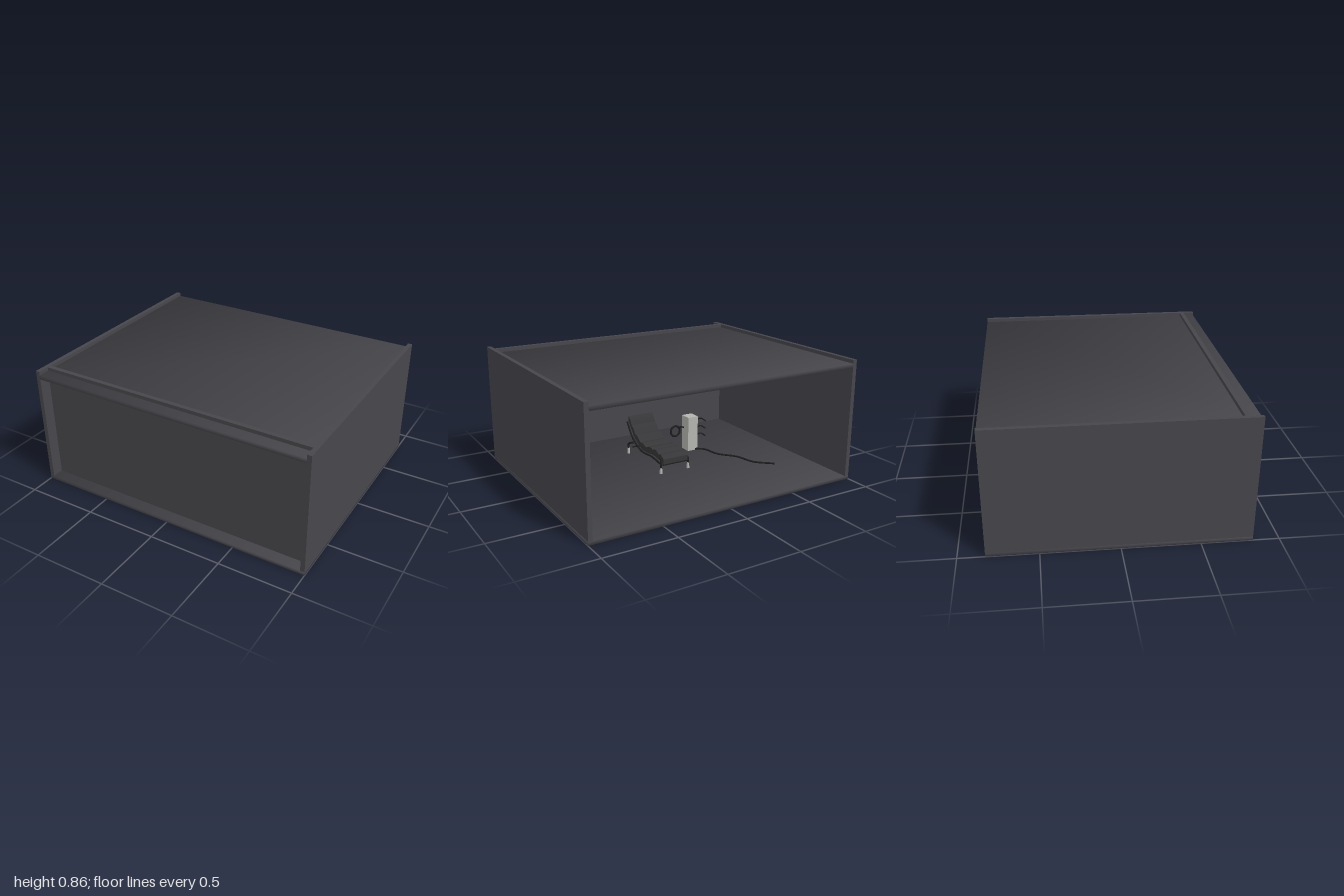
import * as THREE from 'three';

const material = (name, color, side = THREE.FrontSide) => {
  const m = new THREE.MeshStandardMaterial({ color, side });
  m.name = name;
  return m;
};

export function createModel() {
  const model = new THREE.Group();
  model.name = 'openRoom';
  const shell = material('charcoal shell', 0x47464b);
  const leather = material('dark upholstery', 0x363638);
  const black = material('black tubing', 0x1e1e20);
  const grey = material('light grey casing', 0xb4b4b0);

  const add = (name, geometry, mat, parent = model) => {
    const mesh = new THREE.Mesh(geometry, mat);
    mesh.name = name;
    parent.add(mesh);
    return mesh;
  };

  // Box given by its lower and upper corners
  const box = (name, a, b, mat, parent) => {
    const mesh = add(name, new THREE.BoxGeometry(b[0] - a[0], b[1] - a[1], b[2] - a[2]), mat, parent);
    mesh.position.set((a[0] + b[0]) / 2, (a[1] + b[1]) / 2, (a[2] + b[2]) / 2);
    return mesh;
  };

  // Smooth shading across the corners of a slab
  const soften = (mesh) => {
    const { position: p, normal: n } = mesh.geometry.attributes;
    const k = 1 / Math.sqrt(3);
    for (let i = 0; i < p.count; i++) {
      n.setXYZ(i, Math.sign(p.getX(i)) * k, Math.sign(p.getY(i)) * k, Math.sign(p.getZ(i)) * k);
    }
  };

  const tube = (name, points, radius, mat, parent) => {
    const curve = new THREE.CatmullRomCurve3(points.map((p) => new THREE.Vector3(...p)));
    return add(name, new THREE.TubeGeometry(curve, 24, radius, 8), mat, parent);
  };

  // Shell, open at the back
  soften(box('floor', [-1, 0, -0.83], [1, 0.025, 0.83], shell));
  soften(box('ceiling', [-0.97, 0.8, -0.83], [0.97, 0.83, 0.83], shell));
  box('frontPanel', [-0.97, 0.025, 0.72], [0.97, 0.855, 0.75], shell);
  for (const s of [-1, 1]) {
    const wall = box(s > 0 ? 'leftWall' : 'rightWall', [-0.015, 0.025, -0.83], [0.015, 0.855, 0.83], shell);
    wall.position.x = s * 0.985;
  }

  // Ribbed lounge cushion, extruded across its width
  const lounge = new THREE.Group();
  lounge.name = 'lounge';
  model.add(lounge);
  const spine = new THREE.CatmullRomCurve3([
    new THREE.Vector3(0, 0.11, -0.15), new THREE.Vector3(0, 0.135, -0.02),
    new THREE.Vector3(0, 0.125, 0.15), new THREE.Vector3(0, 0.19, 0.28),
    new THREE.Vector3(0, 0.29, 0.37),
  ]);
  const profile = new THREE.Shape();
  const steps = 56, ribs = 7;
  const edge = [];
  for (let i = 0; i <= steps; i++) {
    const p = spine.getPoint(i / steps);
    const bulge = 0.022 + 0.014 * Math.abs(Math.sin((i / steps) * Math.PI * ribs));
    edge.push(new THREE.Vector2(-p.z, p.y + bulge));
  }
  for (let i = steps; i >= 0; i -= 4) {
    const p = spine.getPoint(i / steps);
    edge.push(new THREE.Vector2(-p.z, p.y - 0.015));
  }
  profile.setFromPoints(edge);
  const cushion = new THREE.ExtrudeGeometry(profile, { depth: 0.2, bevelEnabled: false });
  cushion.translate(0, 0, -0.1);
  cushion.rotateY(Math.PI / 2);
  add('cushion', cushion, leather, lounge);

  // Lounge frame, legs and feet
  for (const s of [-1, 1]) {
    tube('sideRail', [[s * 0.11, 0.09, -0.15], [s * 0.11, 0.11, 0], [s * 0.11, 0.105, 0.15],
      [s * 0.11, 0.17, 0.29], [s * 0.11, 0.27, 0.37]], 0.007, black, lounge);
    for (const z of [-0.135, 0.35]) {
      tube('leg', [[s * 0.1, 0.13, z * 0.8], [s * 0.112, 0.1, z], [s * 0.112, 0.05, z]], 0.007, black, lounge);
      const foot = add('foot', new THREE.CylinderGeometry(0.008, 0.011, 0.045, 10), grey, lounge);
      foot.position.set(s * 0.112, 0.0475, z);
    }
  }
  for (const z of [-0.145, 0.3]) {
    tube('crossBar', [[-0.11, 0.09, z], [0, 0.09, z], [0.11, 0.09, z]], 0.006, black, lounge);
  }

  // Cabinet beside the lounge with jointed arms and a ring
  const cabinet = new THREE.Group();
  cabinet.name = 'cabinet';
  model.add(cabinet);
  box('cabinetBody', [-0.385, 0.025, 0.16], [-0.3, 0.29, 0.25], grey, cabinet);
  for (let i = 0; i < 3; i++) {
    const y = 0.12 + i * 0.06;
    tube('thinArm', [[-0.38, y, 0.2], [-0.43, y + 0.02, 0.19], [-0.47, y - 0.005, 0.18]], 0.005, black, cabinet);
  }
  const ring = add('ring', new THREE.TorusGeometry(0.04, 0.008, 8, 24), black, cabinet);
  ring.position.set(-0.24, 0.17, 0.25);
  tube('ringArm', [[-0.3, 0.2, 0.22], [-0.28, 0.2, 0.24], [-0.27, 0.19, 0.25]], 0.006, black, cabinet);

  // Cable trailing across the floor
  tube('cable', [[-0.36, 0.032, 0.17], [-0.42, 0.032, 0.12], [-0.45, 0.032, -0.02],
    [-0.54, 0.032, -0.14], [-0.58, 0.032, -0.29], [-0.69, 0.032, -0.4]], 0.007, black);

  return model;
}
